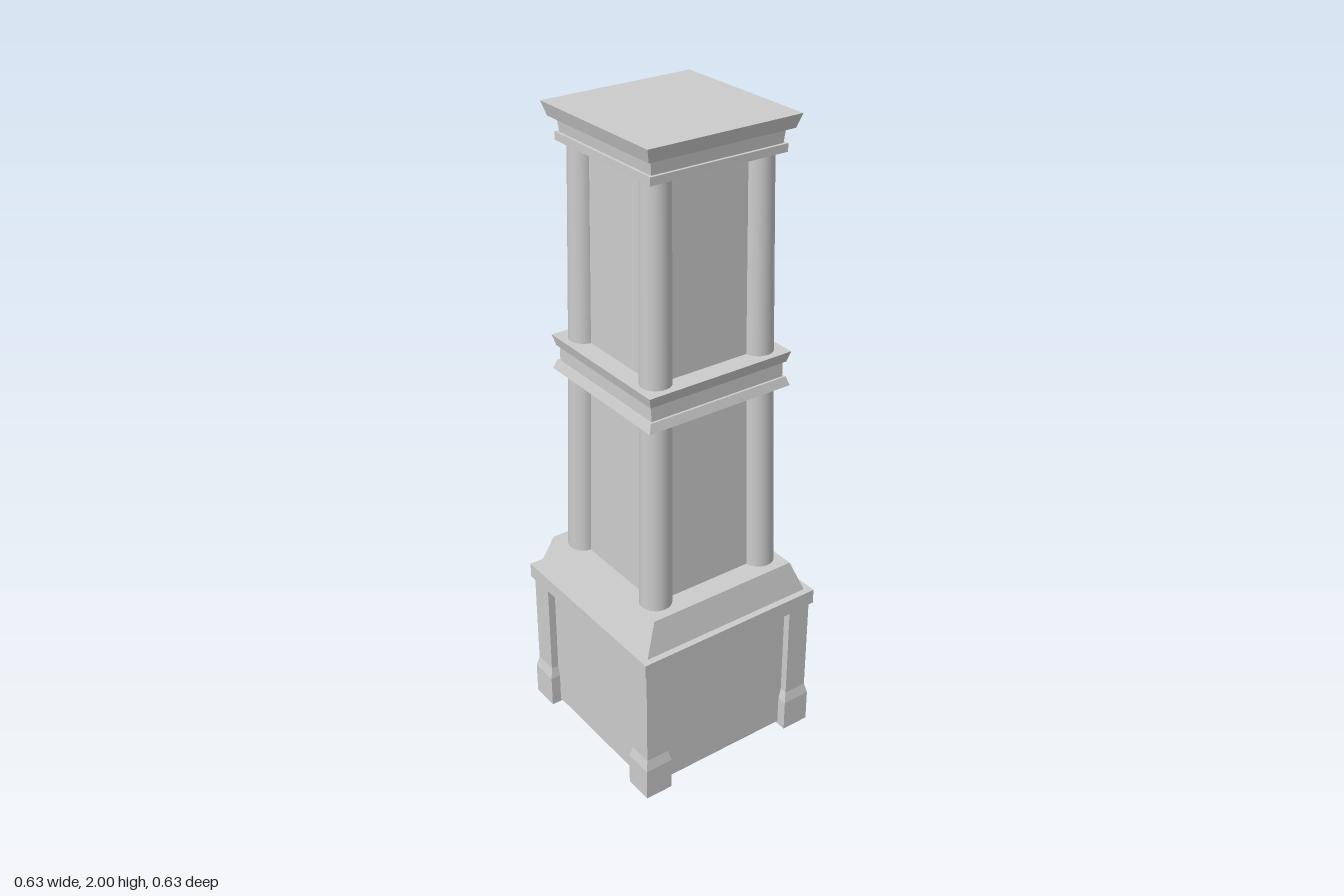
import * as THREE from 'three';

const material = new THREE.MeshStandardMaterial({ color: 0xcccccc, flatShading: true });
const smooth = new THREE.MeshStandardMaterial({ color: 0xcccccc });

// Square or rectangular tapered block: half sizes [x, z] at heights y0 and y1
function block(name, y0, y1, [bx, bz = bx], [tx, tz = tx] = [bx, bz]) {
  const geo = new THREE.BoxGeometry(2, y1 - y0, 2);
  const p = geo.attributes.position;
  for (let i = 0; i < p.count; i++) {
    const top = p.getY(i) > 0;
    p.setX(i, p.getX(i) * (top ? tx : bx));
    p.setZ(i, p.getZ(i) * (top ? tz : bz));
  }
  geo.computeVertexNormals();
  const mesh = new THREE.Mesh(geo, material);
  mesh.position.y = (y0 + y1) / 2;
  mesh.name = name;
  return mesh;
}

// Round column leaning inward along its corner diagonal
function column(y0, y1, c0, c1, r0, r1, sx, sz) {
  const h = y1 - y0;
  const geo = new THREE.CylinderGeometry(r1, r0, h, 24);
  const p = geo.attributes.position;
  for (let i = 0; i < p.count; i++) {
    const c = THREE.MathUtils.lerp(c0, c1, p.getY(i) / h + 0.5);
    p.setX(i, p.getX(i) + sx * c);
    p.setZ(i, p.getZ(i) + sz * c);
  }
  const mesh = new THREE.Mesh(geo, smooth);
  mesh.position.y = (y0 + y1) / 2;
  mesh.name = 'cornerColumn';
  return mesh;
}

export function createModel() {
  const model = new THREE.Group();
  model.name = 'pedestalTower';
  const corners = [[1, 1], [1, -1], [-1, -1], [-1, 1]];

  // Plinth with sloped shoulder
  model.add(
    block('plinthCore', 0.01, 0.46, [0.282]),
    block('plinthTrim', 0.447, 0.465, [0.305]),
    block('plinthSlab', 0.46, 0.508, [0.315]),
    block('shoulder', 0.508, 0.61, [0.294, 0.293], [0.27, 0.252])
  );

  // Corner posts with wider feet
  for (const [sx, sz] of corners) {
    const post = new THREE.Group();
    post.name = 'cornerPost';
    post.add(
      block('foot', 0, 0.105, [0.046]),
      block('footBevel', 0.105, 0.14, [0.046], [0.038]),
      block('postShaft', 0.14, 0.46, [0.038])
    );
    post.position.set(sx * 0.268, 0, sz * 0.268);
    model.add(post);
  }

  // Two tapering shaft sections with corner columns
  const sections = [
    ['lowerShaft', 0.61, 1.215, 0.191, 0.178, 0.049, 0.046],
    ['upperShaft', 1.31, 1.9, 0.176, 0.167, 0.046, 0.042]
  ];
  for (const [name, y0, y1, c0, c1, r0, r1] of sections) {
    const section = new THREE.Group();
    section.name = name;
    section.add(block('shaftPanels', y0, y1, [c0 + 0.006], [c1 + 0.006]));
    for (const [sx, sz] of corners) section.add(column(y0, y1, c0, c1, r0, r1, sx, sz));
    model.add(section);
  }

  // Middle band
  model.add(
    block('bandLowerLip', 1.21, 1.237, [0.243], [0.234]),
    block('bandCore', 1.237, 1.284, [0.227]),
    block('bandUpperLip', 1.284, 1.317, [0.234], [0.243])
  );

  // Crown
  model.add(
    block('crownLowerLip', 1.895, 1.918, [0.22]),
    block('crownNeck', 1.918, 1.96, [0.211], [0.215]),
    block('crownCap', 1.96, 2, [0.233], [0.245])
  );
  return model;
}
